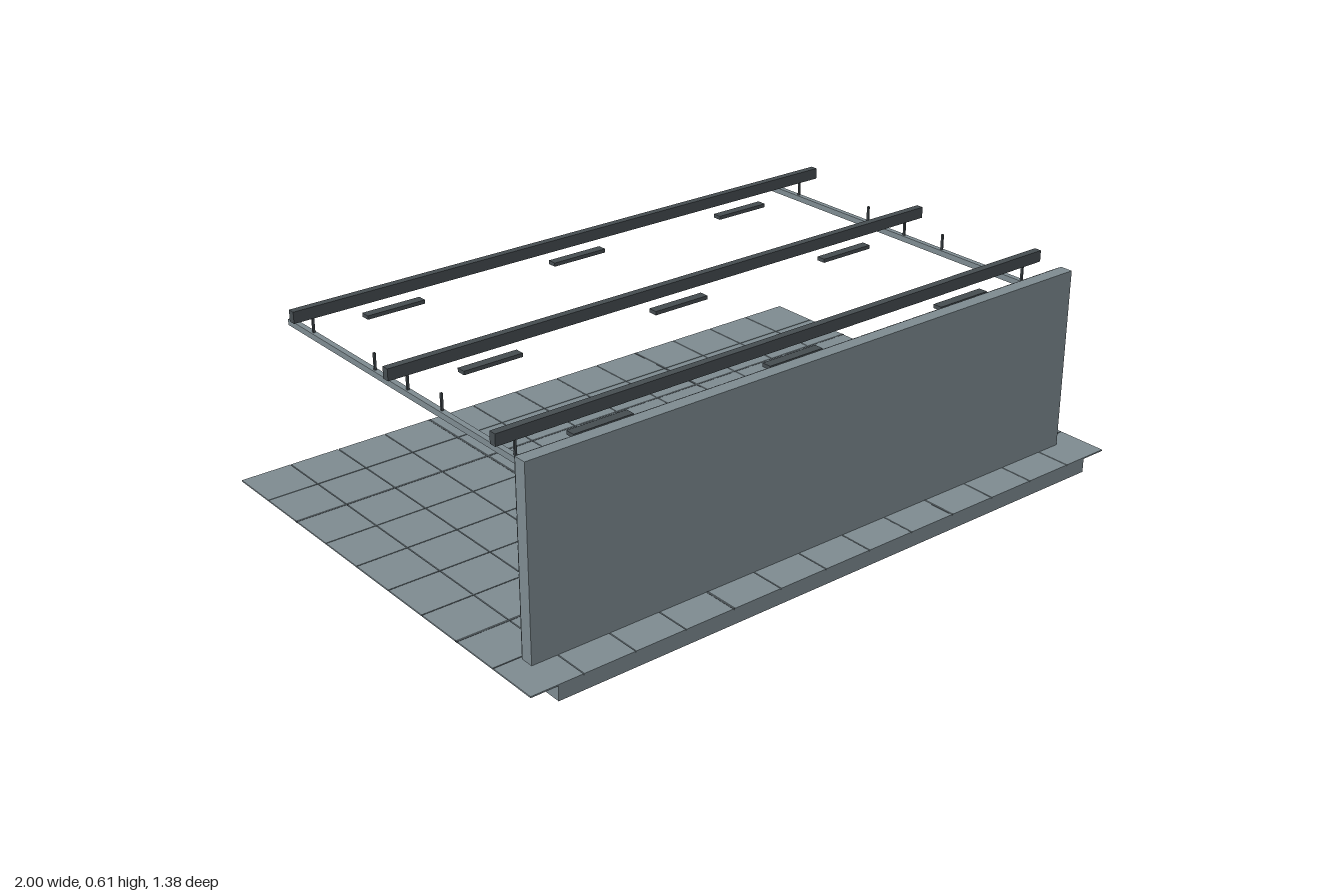
import * as THREE from 'three';

export function createModel() {
  const root = new THREE.Group();
  const mat = (name, color) => {
    const m = new THREE.MeshStandardMaterial({ color });
    m.name = name;
    return m;
  };
  const stone = mat('grey stone', 0x7d8a90);
  const dark = mat('dark metal', 0x454c50);

  // box from its min and max corners
  const box = (name, m, x0, x1, y0, y1, z0, z1, parent = root) => {
    const mesh = new THREE.Mesh(new THREE.BoxGeometry(x1 - x0, y1 - y0, z1 - z0), m);
    mesh.position.set((x0 + x1) / 2, (y0 + y1) / 2, (z0 + z1) / 2);
    mesh.name = name;
    parent.add(mesh);
    return mesh;
  };
  const tube = (name, m, r, len, x, y, z, parent = root) => {
    const mesh = new THREE.Mesh(new THREE.CylinderGeometry(r, r, len, 16), m);
    mesh.position.set(x, y, z);
    mesh.name = name;
    parent.add(mesh);
    return mesh;
  };
  const group = (name) => {
    const g = new THREE.Group();
    g.name = name;
    root.add(g);
    return g;
  };

  // foundation slab and tiled floor
  const T = 2 / 13;
  box('floorSlab', stone, -0.92, 0.92, 0, 0.042, -0.69, 0.69);
  const floor = group('floorTiles');
  for (let i = 0; i < 13; i++) {
    for (let j = 0; j < 9; j++) {
      const x = (i - 6) * T, z = (j - 4) * T, h = T / 2 - 0.0015;
      box('floorTile', stone, x - h, x + h, 0.042, 0.046, z - h, z + h, floor);
    }
  }
  // dark seams and central floor grilles
  for (const s of [-0.385, 0.385]) {
    box('floorSeam', dark, s - 0.004, s + 0.004, 0.043, 0.0465, -0.69, 0.69);
    box('floorSeam', dark, -1, 1, 0.043, 0.0465, s - 0.004, s + 0.004);
  }
  for (let i = -2; i <= 2; i++) {
    box('floorGrille', dark, -T, T, 0.045, 0.051, i * T - 0.004, i * T + 0.004);
  }

  // wall, smooth outside and bricked inside
  box('wall', stone, -0.922, 0.922, 0.042, 0.582, 0.549, 0.587);
  const bricks = group('wallBricks');
  for (let r = 0; r < 7; r++) {
    const y = 0.046 + r * 0.0766;
    const shift = r % 2 ? T / 2 : 0;
    for (let i = 0; i < 13; i++) {
      const a = Math.max(-0.922, -0.922 + i * T - shift);
      const b = Math.min(0.922, -0.922 + (i + 1) * T - shift);
      if (b - a > 0.02) {
        box('brick', stone, a + 0.003, b - 0.003, y + 0.003, y + 0.0736, 0.543, 0.55, bricks);
      }
    }
  }

  // overhead beams with hanging lamps
  for (const z of [-0.4615, 0, 0.4615]) {
    box('ceilingBeam', dark, -0.922, 0.922, 0.575, 0.608, z - 0.011, z + 0.011);
    for (const x of [-0.615, 0, 0.615]) {
      box('ceilingLamp', dark, x - 0.09, x + 0.09, 0.53, 0.541, z - 0.014, z + 0.014);
    }
  }

  for (const s of [-1, 1]) {
    // side rails and their hangers
    box('sideRail', stone, s * 0.861 - 0.008, s * 0.861 + 0.008, 0.514, 0.531, -0.585, 0.55);
    for (const z of [-0.4615, -T, 0, T, 0.4615]) {
      box('railHanger', dark, s * 0.861 - 0.003, s * 0.861 + 0.003, 0.53, 0.578, z - 0.003, z + 0.003);
    }

    // pipe pair with collars
    for (const x of [0.587, 0.695]) {
      tube('pipe', stone, 0.021, 0.4, s * x, 0.31, 0.495);
      for (const y of [0.152, 0.32, 0.475]) {
        tube('pipeCollar', dark, 0.028, 0.011, s * x, y, 0.495);
        box('pipeClip', dark, s * x - 0.006, s * x + 0.006, y - 0.005, y + 0.005, 0.515, 0.546);
      }
    }

    // bracket beside the pipes
    box('bracketPlate', dark, s * 0.74 - 0.08, s * 0.74 + 0.08, 0.465, 0.485, 0.53, 0.546);
    box('bracketArm', stone, s * 0.738 - 0.012, s * 0.738 + 0.012, 0.483, 0.5, 0.475, 0.546);

    // equipment cabinet with two doors and knobs
    const cx = s * 0.307;
    box('cabinet', dark, cx - 0.09, cx + 0.09, 0.125, 0.427, 0.472, 0.546);
    for (const y of [0.132, 0.28]) {
      box('cabinetDoor', dark, cx - 0.084, cx + 0.084, y, y + 0.14, 0.466, 0.473);
    }
    for (const dx of [-0.045, 0.045]) {
      for (const y of [0.174, 0.218, 0.3, 0.344]) {
        const k = tube('cabinetKnob', dark, 0.008, 0.016, cx + dx, y, 0.459);
        k.rotation.x = Math.PI / 2;
      }
    }
  }

  // central console: vented upper panel and lower cupboard
  box('consoleBack', dark, -0.11, 0.11, 0.2, 0.48, 0.517, 0.546);
  box('consolePanel', stone, -0.1, 0.1, 0.215, 0.465, 0.509, 0.518);
  for (let i = -1; i <= 1; i++) {
    box('consoleVent', dark, i * 0.04 - 0.007, i * 0.04 + 0.007, 0.32, 0.44, 0.506, 0.51);
  }
  box('consoleBase', stone, -0.118, 0.118, 0.046, 0.215, 0.49, 0.53);
  box('consoleDoor', dark, -0.1, 0.1, 0.06, 0.2, 0.484, 0.491);
  for (const s of [-1, 1]) {
    box('consoleFrame', stone, s * 0.111 - 0.007, s * 0.111 + 0.007, 0.215, 0.32, 0.49, 0.53);
  }

  return root;
}
